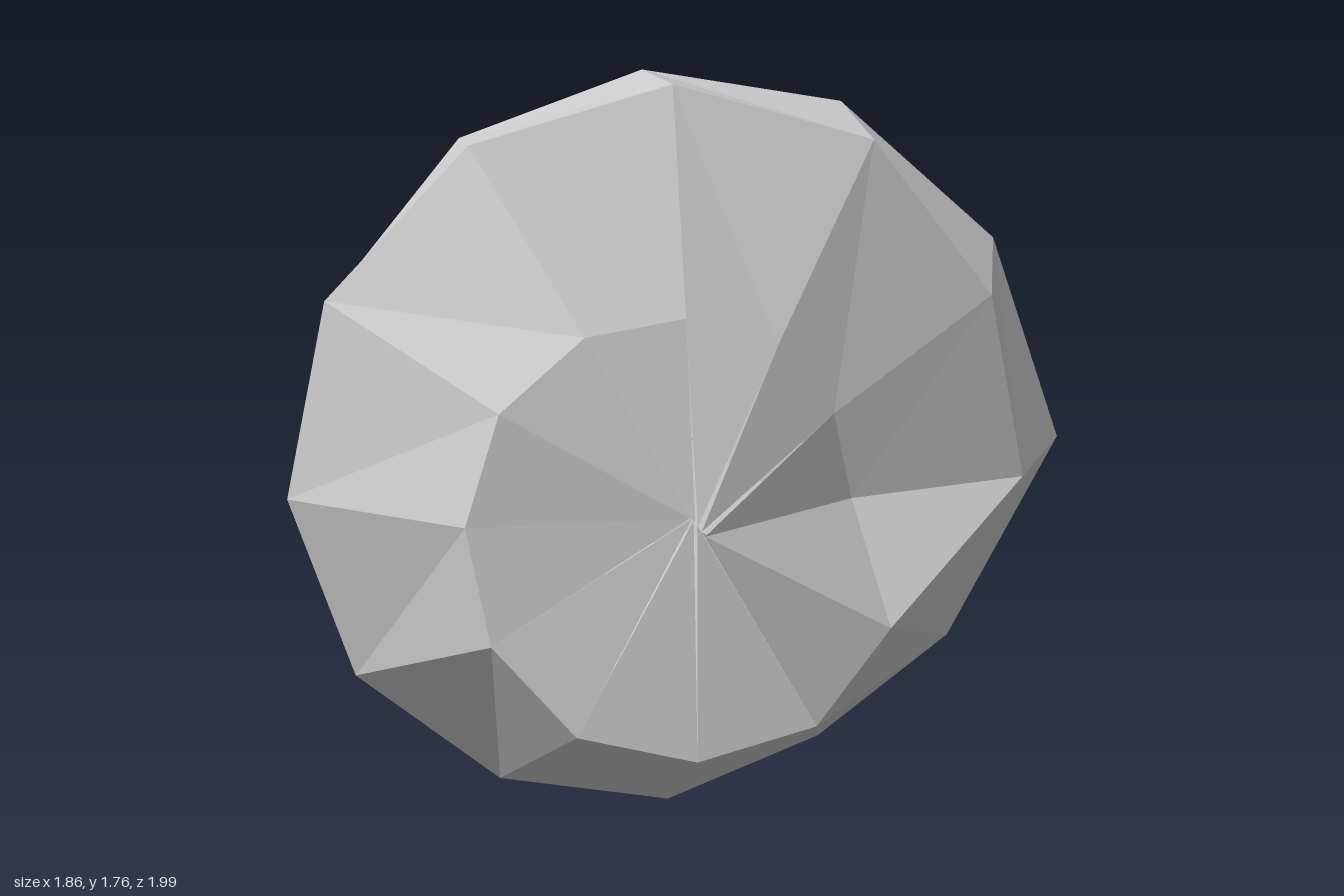
import * as THREE from 'three';

// Boulder: a 12 x 6 sphere with its poles on z, every vertex pushed along its own ray.
const SIDES = 12;
const CENTER = new THREE.Vector3(-0.09, 0.87, 0.02);

// Distance from the centre, one row per ring from +z to -z, counted from +x towards +y.
// The pole rows hold one tip per facet, which leaves the small cracks at both ends.
const RADII = [
  [0.975, 0.93, 0.88, 0.84, 0.82, 0.80, 0.79, 0.80, 0.82, 0.87, 0.93, 0.97],
  [0.745, 0.76, 0.80, 0.82, 0.88, 0.93, 0.955, 0.99, 1.02, 1.015, 1.015, 0.97],
  [0.93, 0.96, 1.02, 1.025, 1.015, 1.0, 0.97, 0.935, 0.885, 0.85, 0.81, 0.86],
  [1.02, 0.98, 0.945, 0.895, 0.855, 0.81, 0.767, 0.75, 0.76, 0.785, 0.82, 0.86],
  [0.79, 0.78, 0.777, 0.77, 0.79, 0.82, 0.86, 0.90, 0.95, 0.995, 1.01, 1.016],
  [0.83, 0.87, 0.93, 0.965, 1.0, 1.01, 1.02, 1.0, 0.98, 0.94, 0.87, 0.84],
  [1.01, 0.99, 0.96, 0.94, 0.91, 0.88, 0.85, 0.83, 0.84, 0.88, 0.93, 0.98],
];

function rockPoint(ring, side) {
  const k = side % SIDES;
  const theta = (ring / (RADII.length - 1)) * Math.PI;
  const phi = (k / SIDES) * Math.PI * 2;
  return new THREE.Vector3(
    Math.sin(theta) * Math.cos(phi),
    Math.sin(theta) * Math.sin(phi),
    Math.cos(theta)
  ).multiplyScalar(RADII[ring][k]).add(CENTER);
}

export function createModel() {
  const points = [];
  const last = RADII.length - 2;
  for (let j = 0; j <= last; j++) {
    for (let k = 0; k < SIDES; k++) {
      const a = rockPoint(j, k), b = rockPoint(j, k + 1);
      const c = rockPoint(j + 1, k), d = rockPoint(j + 1, k + 1);
      if (j < last) points.push(a, c, d);
      if (j > 0) points.push(a, d, b);
    }
  }
  const geometry = new THREE.BufferGeometry().setFromPoints(points);
  geometry.computeVertexNormals();

  const rock = new THREE.Mesh(geometry, new THREE.MeshStandardMaterial({
    color: 0xcccccc, flatShading: true, side: THREE.DoubleSide,
  }));
  rock.name = 'rock';

  const group = new THREE.Group();
  group.name = 'boulder';
  group.add(rock);
  return group;
}
